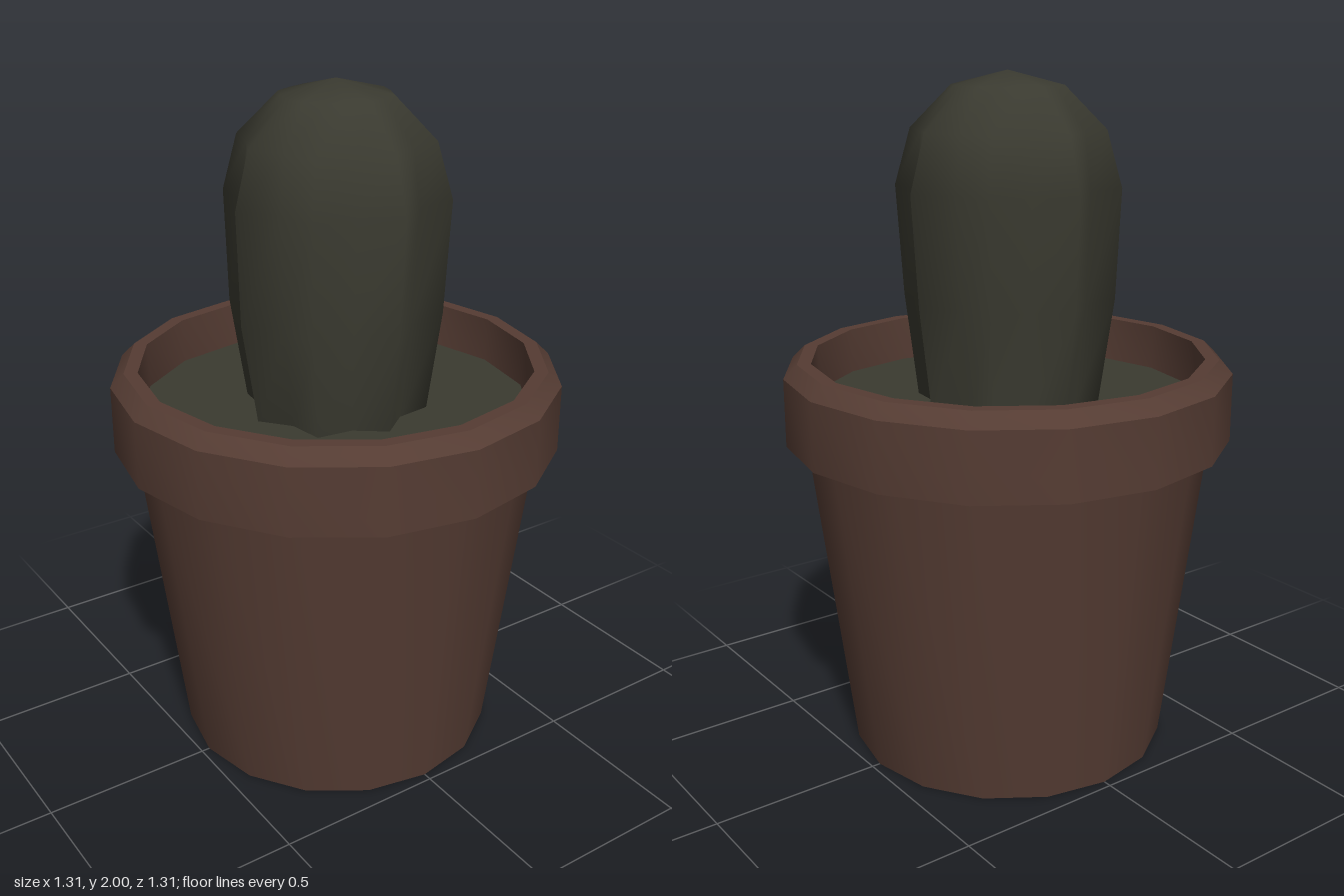
import * as THREE from 'three';
import { toCreasedNormals } from 'three/addons/utils/BufferGeometryUtils.js';

const SIDES = 16;
const SOIL_Y = 1.06;

// Ribbed column lofted through star-shaped rings, closed by a point on top
function cactusGeometry() {
  // height, rib radius, valley radius / rib radius, lean toward -x and +z
  const rings = [
    [SOIL_Y - 0.02, 0.266, 0.82, 0],
    [1.36, 0.31, 0.82, 0.013],
    [1.68, 0.325, 0.82, -0.004],
    [1.84, 0.28, 0.88, 0],
    [1.96, 0.16, 0.95, 0],
  ];
  const positions = [];
  const indices = [];
  rings.forEach(([y, radius, valley, lean]) => {
    for (let i = 0; i < SIDES; i++) {
      const angle = (i / SIDES) * Math.PI * 2;
      const r = i % 2 ? radius * valley : radius;
      positions.push(Math.sin(angle) * r - lean, y, Math.cos(angle) * r + lean);
    }
  });
  const tip = rings.length * SIDES;
  positions.push(0, 2, 0);
  for (let i = 0; i < SIDES; i++) {
    const j = (i + 1) % SIDES;
    for (let k = 0; k < rings.length - 1; k++) {
      const low = k * SIDES;
      const high = low + SIDES;
      indices.push(low + i, low + j, high + j, low + i, high + j, high + i);
    }
    indices.push(tip - SIDES + i, tip - SIDES + j, tip);
  }
  const geometry = new THREE.BufferGeometry();
  geometry.setAttribute('position', new THREE.Float32BufferAttribute(positions, 3));
  geometry.setIndex(indices);
  geometry.computeVertexNormals();
  return geometry;
}

export function createModel() {
  const terracotta = new THREE.MeshStandardMaterial({ name: 'terracotta', color: 0x553c33 });
  const darkOlive = new THREE.MeshStandardMaterial({ name: 'darkOlive', color: 0x3a3a30 });

  const model = new THREE.Group();
  model.name = 'pottedCactus';
  const add = (name, geometry, material) => {
    const mesh = new THREE.Mesh(geometry, material);
    mesh.name = name;
    model.add(mesh);
    return mesh;
  };

  // Tapered pot: drain hole, base, wall, overhanging chamfered rim, inner lip
  const profile = [
    [0.07, 0.05], [0.07, 0], [0.475, 0], [0.595, 0.955], [0.655, 0.955],
    [0.655, 1.155], [0.615, 1.195], [0.575, 1.195], [0.572, SOIL_Y - 0.01],
  ].map(([r, y]) => new THREE.Vector2(r, y));
  add('pot', toCreasedNormals(new THREE.LatheGeometry(profile, SIDES), 0.7), terracotta);

  // Soil surface, and the soil seen through the drain hole
  const soil = add('soil', new THREE.CircleGeometry(0.573, SIDES), darkOlive);
  soil.rotation.x = -Math.PI / 2;
  soil.position.y = SOIL_Y;
  const drainSoil = add('drainSoil', new THREE.CircleGeometry(0.07, SIDES), darkOlive);
  drainSoil.rotation.x = Math.PI / 2;
  drainSoil.position.y = 0.05;

  add('cactus', cactusGeometry(), darkOlive);
  return model;
}
